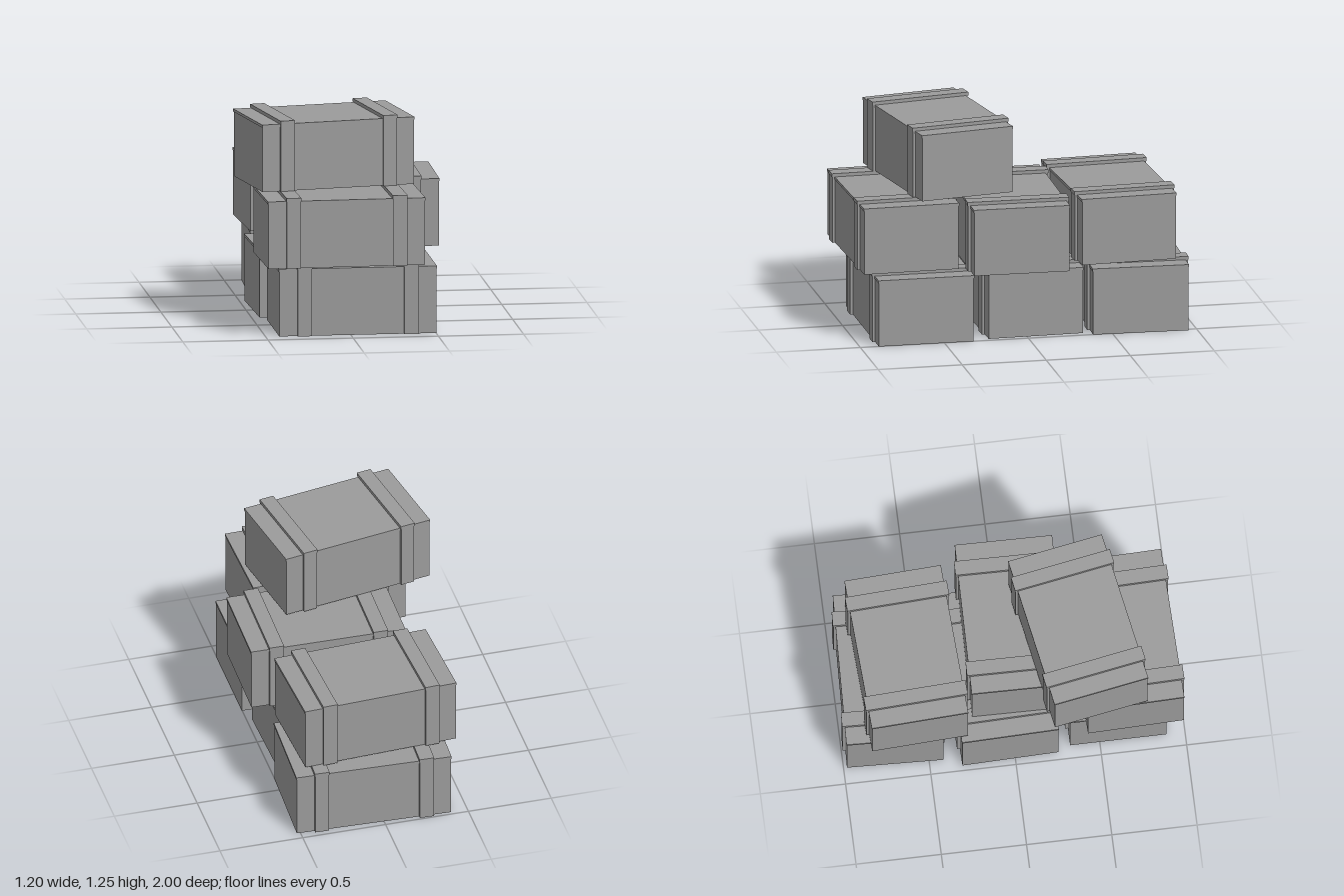
import * as THREE from 'three';

const material = new THREE.MeshStandardMaterial({ color: 0x9b9b9b, flatShading: true });

// Box placed by its centre in x and z and its base in y
function box(name, w, h, d, x, y, z = 0) {
  const mesh = new THREE.Mesh(new THREE.BoxGeometry(w, h, d), material);
  mesh.name = name;
  mesh.position.set(x, y + h / 2, z);
  return mesh;
}

const LEVEL = 0.417; // height of one crate including its straps
const LID_TOP = 0.397;

// One lidded crate with two raised straps
function createCrate(name) {
  const crate = new THREE.Group();
  crate.name = name;
  crate.add(box('crateBody', 0.922, 0.381, 0.564, 0, 0));
  crate.add(box('crateLid', 0.928, 0.016, 0.57, 0, LID_TOP - 0.016));
  for (const side of [-1, 1]) {
    const label = side > 0 ? 'left' : 'right';
    const x = side * 0.313;
    // upright battens on the front and back, capped across the lid
    for (const face of [-1, 1]) {
      const end = face > 0 ? 'Front' : 'Back';
      crate.add(box(label + end + 'Batten', 0.083, LID_TOP, 0.03, x, 0, face * 0.283));
    }
    crate.add(box(label + 'TopBatten', 0.087, LEVEL - LID_TOP, 0.602, x, LID_TOP));
  }
  return crate;
}

export function createModel() {
  const model = new THREE.Group();
  model.name = 'crateStack';
  // name, level, x, z, turn in degrees
  const layout = [
    ['bottomFrontCrate', 0, 0.041, 0.608, 0],
    ['bottomMiddleCrate', 0, 0, -0.041, 1.5],
    ['bottomBackCrate', 0, 0.051, -0.682, -2],
    ['middleFrontCrate', 1, -0.042, 0.69, 1.5],
    ['middleMiddleCrate', 1, 0.131, 0.052, -0.8],
    ['middleBackCrate', 1, 0.007, -0.582, 3],
    ['topCrate', 2, -0.097, 0.413, 10],
  ];
  for (const [name, level, x, z, turn] of layout) {
    const crate = createCrate(name);
    crate.position.set(x, level * LEVEL, z);
    crate.rotation.y = THREE.MathUtils.degToRad(turn);
    model.add(crate);
  }
  return model;
}
